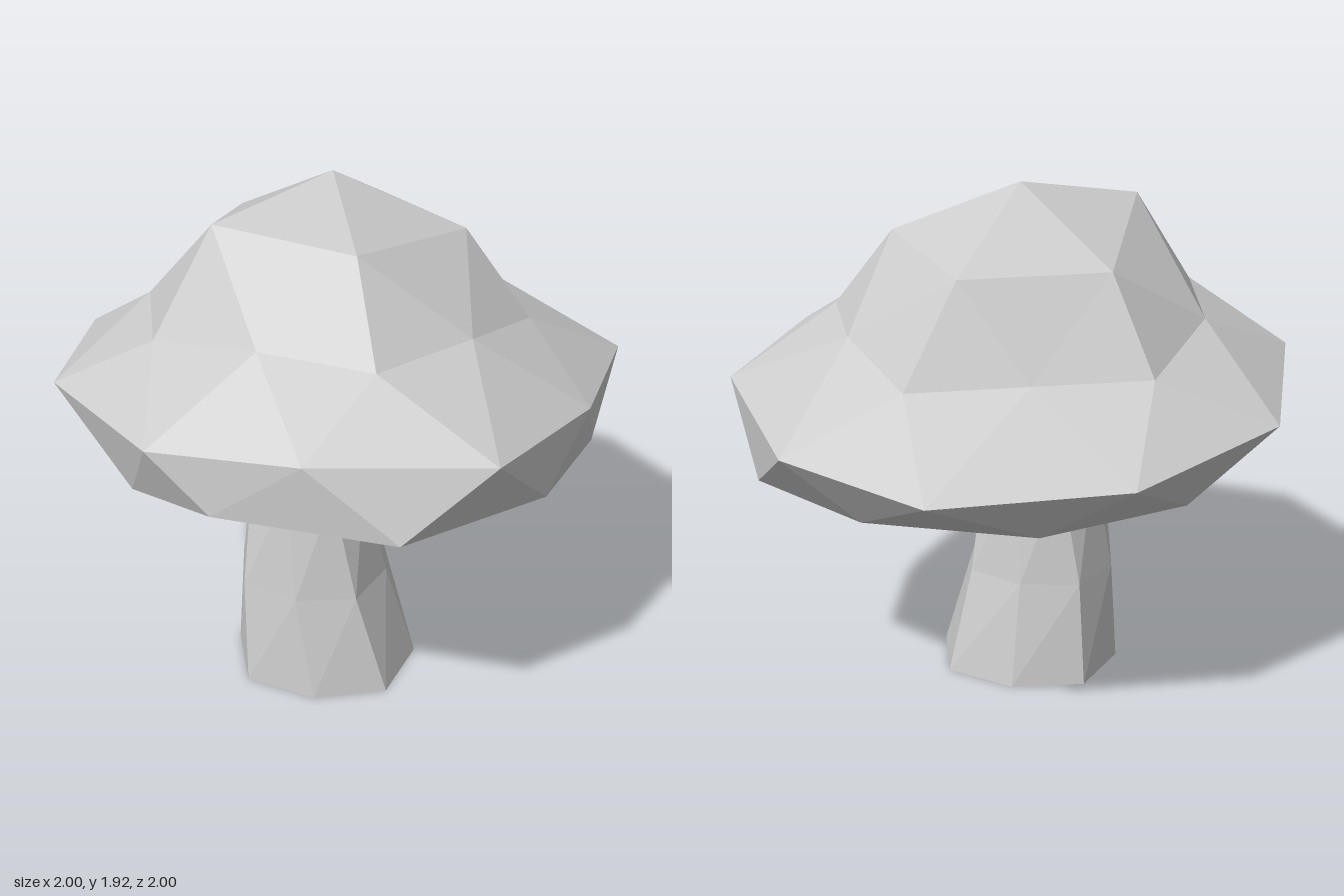
import * as THREE from 'three';

const material = new THREE.MeshStandardMaterial({ color: 0xcccccc, flatShading: true, roughness: 0.9 });

// Cap rings, top to bottom; each runs anticlockwise seen from above, starting near +z.
const APEX = [-0.04, 1.92, -0.04];
const CROWN = [[0.1, 1.8, 0.39], [0.43, 1.725, -0.05], [0.09, 1.67, -0.46], [-0.41, 1.675, -0.27], [-0.41, 1.83, 0.27]];
const SHOULDER = [
  [0.2, 1.52, 0.67], [0.49, 1.51, 0.37], [0.67, 1.42, 0.01], [0.51, 1.41, -0.36], [0.24, 1.31, -0.62],
  [-0.18, 1.335, -0.53], [-0.58, 1.34, -0.39], [-0.7, 1.44, 0.03], [-0.59, 1.47, 0.45], [-0.2, 1.55, 0.63],
];
const RIM = [
  [0.62, 1.32, 0.87], [0.9, 1.25, 0.33], [1.0, 1.19, -0.25], [0.64, 1.09, -0.76], [0.07, 1.06, -1.0],
  [-0.58, 1.08, -0.76], [-1.0, 1.16, -0.26], [-0.97, 1.25, 0.4], [-0.53, 1.3, 0.89], [0.0, 1.33, 0.97],
];
const LIP = [
  [0.32, 1.08, 1.0], [0.77, 1.04, 0.58], [0.92, 0.97, 0.07], [0.84, 0.87, -0.44], [0.38, 0.855, -0.69],
  [-0.25, 0.87, -0.72], [-0.7, 0.87, -0.34], [-0.85, 0.98, 0.15], [-0.64, 1.0, 0.66], [-0.31, 1.1, 0.94],
];
const GILLS = [[0.37, 1.2, 0.31], [0.41, 1.15, -0.2], [-0.12, 1.1, -0.4], [-0.47, 1.24, 0.05], [-0.16, 1.25, 0.48]];
const UNDER = [-0.03, 1.13, 0.05];

// Faceted cap: rings of 1, 5, 10, 10, 10, 5 and 1 points joined by triangles
function capGeometry() {
  const positions = [];
  const tri = (a, b, c) => positions.push(...a, ...b, ...c);
  const at = (ring, i) => ring[i % ring.length];

  for (let j = 0; j < 5; j++) {
    const k = 2 * j;
    // crown down to the shoulder
    const c0 = CROWN[j], c1 = at(CROWN, j + 1);
    tri(APEX, c0, c1);
    tri(c0, SHOULDER[k], SHOULDER[k + 1]);
    tri(c0, SHOULDER[k + 1], c1);
    tri(c1, SHOULDER[k + 1], at(SHOULDER, k + 2));
    // hollow underside
    const g0 = GILLS[j], g1 = at(GILLS, j + 1);
    tri(UNDER, g1, g0);
    tri(g0, LIP[k + 1], LIP[k]);
    tri(g0, at(LIP, k + 2), LIP[k + 1]);
    tri(g0, g1, at(LIP, k + 2));
  }
  for (let i = 0; i < 10; i++) {
    // shoulder to rim
    tri(SHOULDER[i], RIM[i], at(SHOULDER, i + 1));
    tri(at(SHOULDER, i + 1), RIM[i], at(RIM, i + 1));
    // rim to lower lip
    tri(RIM[i], LIP[i], at(LIP, i + 1));
    tri(RIM[i], at(LIP, i + 1), at(RIM, i + 1));
  }
  const geometry = new THREE.BufferGeometry();
  geometry.setAttribute('position', new THREE.Float32BufferAttribute(positions, 3));
  geometry.computeVertexNormals();
  return geometry;
}

// Bent, tapering, twisted stem: the rows of a unit cylinder are moved, scaled and turned
function stemGeometry() {
  const rows = [
    { x: -0.045, y: 0, z: 0.14, r: 0.345, twist: 0 },
    { x: -0.09, y: 0.4, z: 0.145, r: 0.28, twist: 6 },
    { x: -0.095, y: 0.83, z: 0.145, r: 0.213, twist: 18 },
    { x: -0.06, y: 1.2, z: 0.135, r: 0.185, twist: 30 },
  ];
  const geometry = new THREE.CylinderGeometry(1, 1, 3, 8, 3).translate(0, 1.5, 0);
  const p = geometry.attributes.position;
  const v = new THREE.Vector3();
  const up = new THREE.Vector3(0, 1, 0);
  for (let i = 0; i < p.count; i++) {
    v.fromBufferAttribute(p, i);
    const row = rows[Math.round(v.y)];
    // the four diagonal corners stand out a little
    const corner = Math.abs(v.x * v.z) > 0.1 ? 1.085 : 1;
    v.setY(0).multiplyScalar(row.r * corner).applyAxisAngle(up, -THREE.MathUtils.degToRad(row.twist));
    p.setXYZ(i, row.x + v.x, row.y, row.z + v.z);
  }
  geometry.computeVertexNormals();
  return geometry;
}

export function createModel() {
  const group = new THREE.Group();
  group.name = 'mushroom';
  const cap = new THREE.Mesh(capGeometry(), material);
  cap.name = 'cap';
  const stem = new THREE.Mesh(stemGeometry(), material);
  stem.name = 'stem';
  group.add(cap, stem);
  return group;
}
